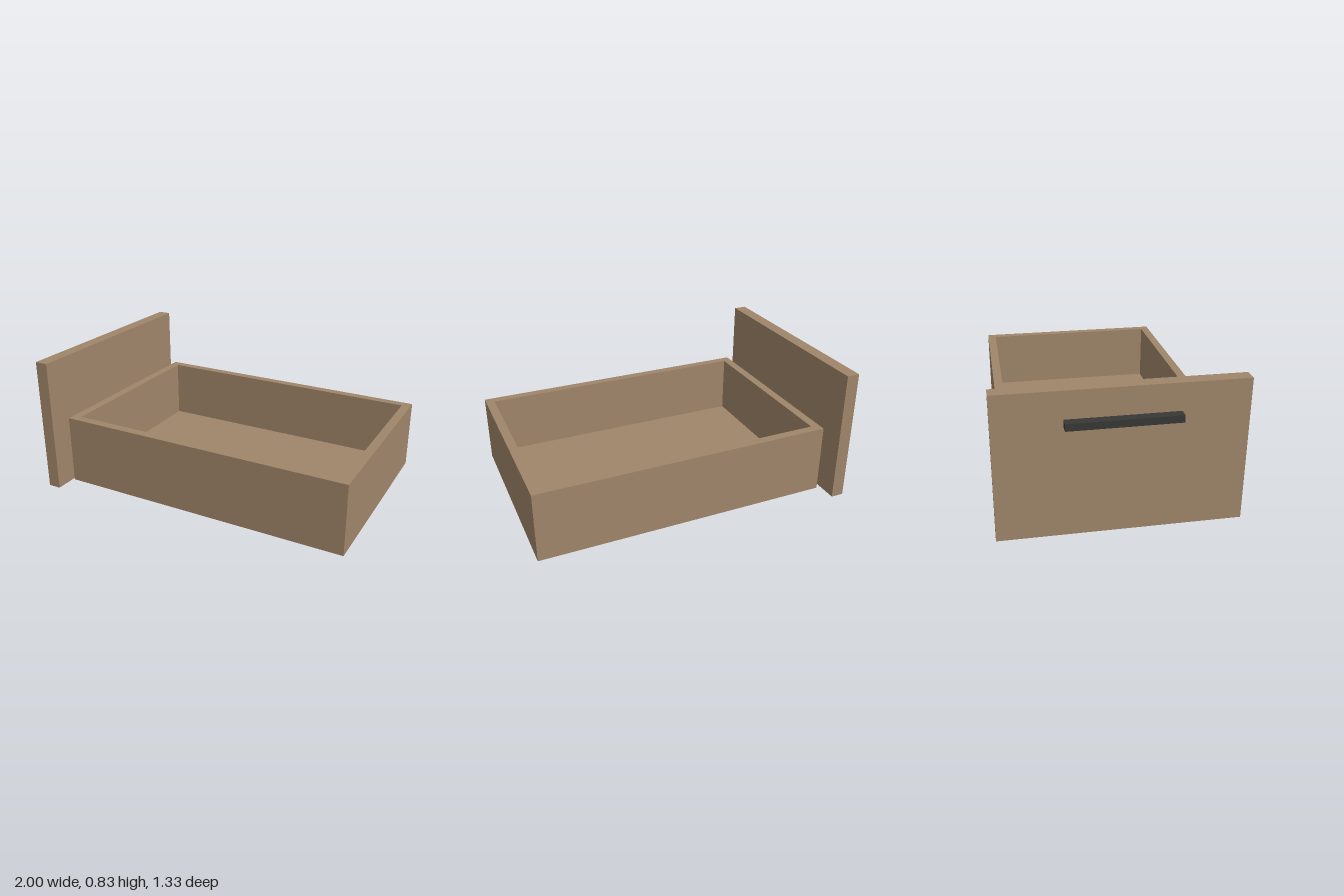
import * as THREE from 'three';

export function createModel() {
  const wood = new THREE.MeshStandardMaterial({ color: 0xa0866a });
  wood.name = 'wood';
  const darkMetal = new THREE.MeshStandardMaterial({ color: 0x383935 });
  darkMetal.name = 'darkMetal';

  const drawer = new THREE.Group();
  drawer.name = 'drawer';

  // Adds a board given its lower and upper limits on each axis
  function board(name, [x0, x1], [y0, y1], [z0, z1], material = wood) {
    const mesh = new THREE.Mesh(new THREE.BoxGeometry(x1 - x0, y1 - y0, z1 - z0), material);
    mesh.name = name;
    mesh.position.set((x0 + x1) / 2, (y0 + y1) / 2, (z0 + z1) / 2);
    drawer.add(mesh);
  }

  const back = -0.788, end = 1, bottom = 0.053, floor = 0.105, rim = 0.475;
  const halfWidth = 0.608, thick = 0.053;
  const inner = halfWidth - thick;

  // Tray: base board, two long sides and two end boards between them
  board('trayBase', [back, end], [bottom, floor], [-halfWidth, halfWidth]);
  board('traySideFront', [back, end], [floor, rim], [inner, halfWidth]);
  board('traySideBack', [back, end], [floor, rim], [-halfWidth, -inner]);
  board('trayEndRight', [back, back + thick], [floor, rim], [-inner, inner]);
  board('trayEndLeft', [end - thick, end], [floor, rim], [-inner, inner]);

  // Separate face panel with its bar handle
  board('facePanel', [-0.948, -0.869], [0, 0.827], [-0.667, 0.667]);
  board('handle', [-1, -0.948], [0.631, 0.672], [-0.303, 0.303], darkMetal);

  return drawer;
}
